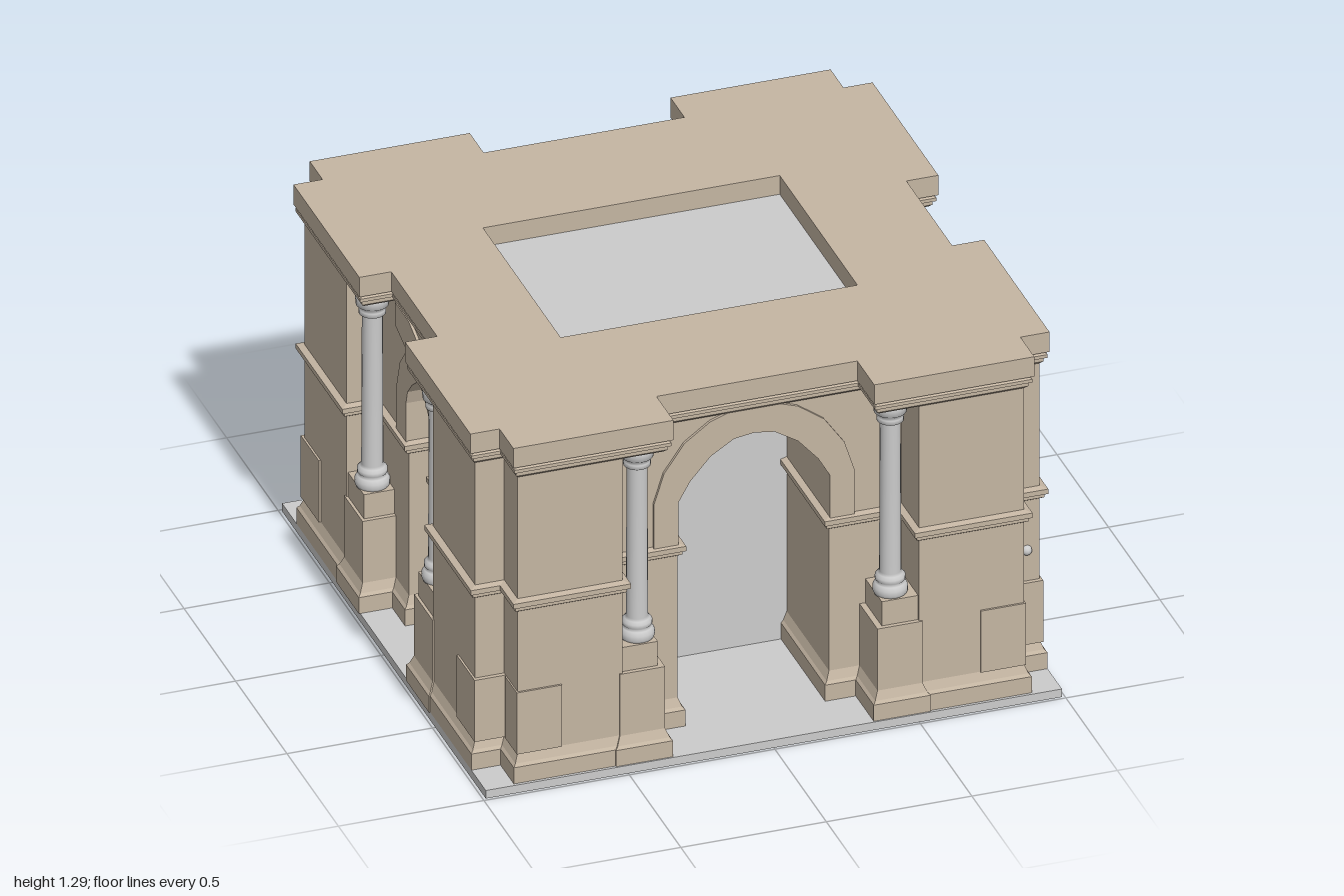
import * as THREE from 'three';

const stone = new THREE.MeshStandardMaterial({ color: 0xc4b5a2 });
const grey = new THREE.MeshStandardMaterial({ color: 0xcccccc });

const area = THREE.ShapeUtils.area;
const v2 = (pts) => pts.map(([x, z]) => new THREE.Vector2(x, z));

// Grow a right-angled outline by d on every edge
function grow(p, d) {
  const n = p.length;
  const normal = (a, b) => new THREE.Vector2(Math.sign(b.y - a.y), -Math.sign(b.x - a.x));
  return p.map((q, i) => {
    const a = normal(p[(i + n - 1) % n], q), b = normal(q, p[(i + 1) % n]);
    return new THREE.Vector2(q.x + d * Math.max(-1, Math.min(1, a.x + b.x)),
      q.y + d * Math.max(-1, Math.min(1, a.y + b.y)));
  });
}

// Wall of a plan outline with a moulded profile of [height, projection], capped at both ends
function loft(points, profile, hole) {
  let plan = v2(points);
  if (area(plan) < 0) plan = plan.reverse();
  const pos = [];
  const put = (p, y) => pos.push(p.x, y, p.y);
  const wall = (lo, hi, y0, y1) => lo.forEach((a, i) => {
    const j = (i + 1) % lo.length;
    put(a, y0); put(hi[i], y1); put(hi[j], y1);
    put(a, y0); put(hi[j], y1); put(lo[j], y0);
  });
  const rings = profile.map(([, d]) => grow(plan, d));
  for (let k = 0; k + 1 < rings.length; k++) wall(rings[k], rings[k + 1], profile[k][0], profile[k + 1][0]);
  const last = profile.length - 1;
  const inner = hole ? [v2(hole)] : [];
  if (hole) {
    if (area(inner[0]) > 0) inner[0].reverse();
    wall(inner[0], inner[0], profile[0][0], profile[last][0]);
  }
  for (const [k, up] of [[0, false], [last, true]]) {
    const all = rings[k].concat(...inner);
    for (const f of THREE.ShapeUtils.triangulateShape(rings[k].slice(), inner.map((h) => h.slice()))) {
      const t = f.map((i) => all[i]);
      if ((area(t) > 0) === up) t.reverse();
      t.forEach((p) => put(p, profile[k][0]));
    }
  }
  const g = new THREE.BufferGeometry();
  g.setAttribute('position', new THREE.Float32BufferAttribute(pos, 3));
  g.computeVertexNormals();
  return g;
}

const rect = (x0, x1, z0, z1) => [[x0, z0], [x1, z0], [x1, z1], [x0, z1]];
const mirrored = (half) => [...half, ...half.filter(([x]) => x > 0).reverse().map(([x, y]) => [-x, y])];

export function createModel() {
  const model = new THREE.Group();
  const add = (name, geometry, material = stone, parent = model) => {
    const m = new THREE.Mesh(geometry, material);
    m.name = name;
    parent.add(m);
    return m;
  };

  // Ground slab and plain inner core
  add('groundSlab', loft(rect(-0.99, 0.99, -0.99, 0.99), [[0, 0], [0.03, 0]]), grey);
  add('innerCore', loft(rect(-0.515, 0.515, -0.4, 0.38), [[0.02, 0], [1.22, 0]]), grey);

  // Four corner piers with plinth and string course
  const pierPlan = [[0.26, 0.36], [0.26, 0.79], [0.51, 0.79], [0.51, 0.96], [0.87, 0.96], [0.87, 0.83],
    [0.97, 0.83], [0.97, 0.42], [0.86, 0.42], [0.86, 0.125], [0.49, 0.125], [0.49, 0.36]];
  const pierProfile = [[0.03, 0.02], [0.09, 0.02], [0.1, 0.012], [0.13, 0], [0.66, 0], [0.668, 0.012],
    [0.682, 0.012], [0.684, 0.022], [0.702, 0.022], [0.708, 0], [1.2, 0]];
  const plinthProfile = [[0.03, 0.02], [0.09, 0.02], [0.1, 0.012], [0.13, 0], [0.36, 0]];
  const columnProfile = [[0, 0.445], [0.052, 0.445], [0.058, 0.458], [0.058, 0.475], [0.05, 0.488], [0.043, 0.492],
    [0.05, 0.5], [0.05, 0.513], [0.042, 0.522], [0.036, 0.53], [0.034, 1.085], [0.045, 1.092], [0.045, 1.108],
    [0.039, 1.114], [0.054, 1.125], [0.056, 1.15], [0.05, 1.17], [0, 1.17]];
  const column = new THREE.LatheGeometry(v2(columnProfile), 20);

  for (const sx of [1, -1]) for (const sz of [1, -1]) {
    const flip = (pts) => pts.map(([x, z]) => [x * sx, z * sz]);
    add('cornerPier', loft(flip(pierPlan), pierProfile));
    // Raised dado blocks at the pier corners
    const dado = [[0.13, 0], [0.36, 0]];
    add('frontDado', loft(flip(rect(0.72, 0.875, 0.85, 0.967)), dado));
    add('sideDado', loft(flip(rect(0.86, 0.977, 0.67, 0.845)), dado));
    // Pedestals and columns flanking the arches
    add('frontPedestal', loft(flip(rect(0.365, 0.52, 0.77, 0.965)), plinthProfile));
    add('frontPedestalNeck', loft(flip(rect(0.385, 0.515, 0.77, 0.95)), [[0.36, 0], [0.45, 0]]));
    add('sidePedestal', loft(flip(rect(0.84, 0.975, 0.25, 0.43)), plinthProfile));
    add('sidePedestalNeck', loft(flip(rect(0.84, 0.965, 0.265, 0.425)), [[0.36, 0], [0.45, 0]]));
    add('frontColumn', column, grey).position.set(0.435 * sx, 0, 0.89 * sz);
    add('sideColumn', column, grey).position.set(0.915 * sx, 0, 0.325 * sz);
  }

  // Arch head closing the wall above an opening, with a raised surround
  function arch(name, curve, surround, front, back, angle) {
    const g = new THREE.Group();
    g.name = name;
    g.rotation.y = angle;
    model.add(g);
    const slab = (outline, depth) => new THREE.ExtrudeGeometry(new THREE.Shape(v2(outline)),
      { depth, bevelEnabled: false });
    const w = curve[0][0];
    const crown = mirrored(curve);
    add('archHead', slab([...crown, [-w, 1.2], [w, 1.2]], front - back), stone, g).position.z = back;
    // Split the surround at the crown so each half is a simple outline
    for (const s of [1, -1]) {
      const half = [[w, 0.705], ...curve, ...surround.slice().reverse()].map(([x, y]) => [x * s, y]);
      add('archSurround', slab(half, 0.022), stone, g).position.z = front - 0.012;
    }
  }
  const wide = [[0.26, 0.865], [0.22, 0.935], [0.15, 1.015], [0.07, 1.065], [0, 1.075]];
  const wideSurround = [[0.345, 0.705], [0.345, 0.87], [0.31, 0.98], [0.24, 1.08], [0.15, 1.145], [0.07, 1.172], [0, 1.18]];
  const narrow = [[0.125, 0.85], [0.11, 0.9], [0.065, 0.95], [0, 1]];
  const narrowSurround = [[0.22, 0.705], [0.22, 0.86], [0.185, 0.97], [0.12, 1.05], [0.23, 1.085], [0.23, 1.17],
    [0.1, 1.17], [0, 1.13]];
  arch('frontArch', wide, wideSurround, 0.79, 0.36, 0);
  arch('backArch', wide, wideSurround, 0.79, 0.36, Math.PI);
  arch('leftArch', narrow, narrowSurround, 0.86, 0.49, Math.PI / 2);
  arch('rightArch', narrow, narrowSurround, 0.86, 0.49, -Math.PI / 2);

  // Entablature and roof slab breaking forward over the columns, with a sunken panel
  const half = [[0.37, -0.83], [0.37, -0.965], [0.87, -0.965], [0.87, -0.84], [0.97, -0.84], [0.97, -0.25],
    [0.86, -0.25], [0.86, 0.245], [0.97, 0.245], [0.97, 0.83], [0.87, 0.83], [0.87, 0.965], [0.37, 0.965], [0.37, 0.8]];
  add('cornice', loft(mirrored(half), [[1.165, 0], [1.175, 0.01], [1.188, 0.01], [1.192, 0.02], [1.204, 0.02],
    [1.21, 0.012], [1.216, 0.025], [1.29, 0.025]], rect(-0.51, 0.51, -0.395, 0.36)));

  // Small round studs at the corners
  const stud = new THREE.SphereGeometry(0.018, 12, 8);
  for (const y of [0.475, 1.14]) {
    add('cornerStud', stud, grey).position.set(0.925, y, 0.83);
    add('sideStud', stud, grey).position.set(0.965, y, -0.75);
    add('sideStud', stud, grey).position.set(0.965, y, 0.77);
  }
  return model;
}
